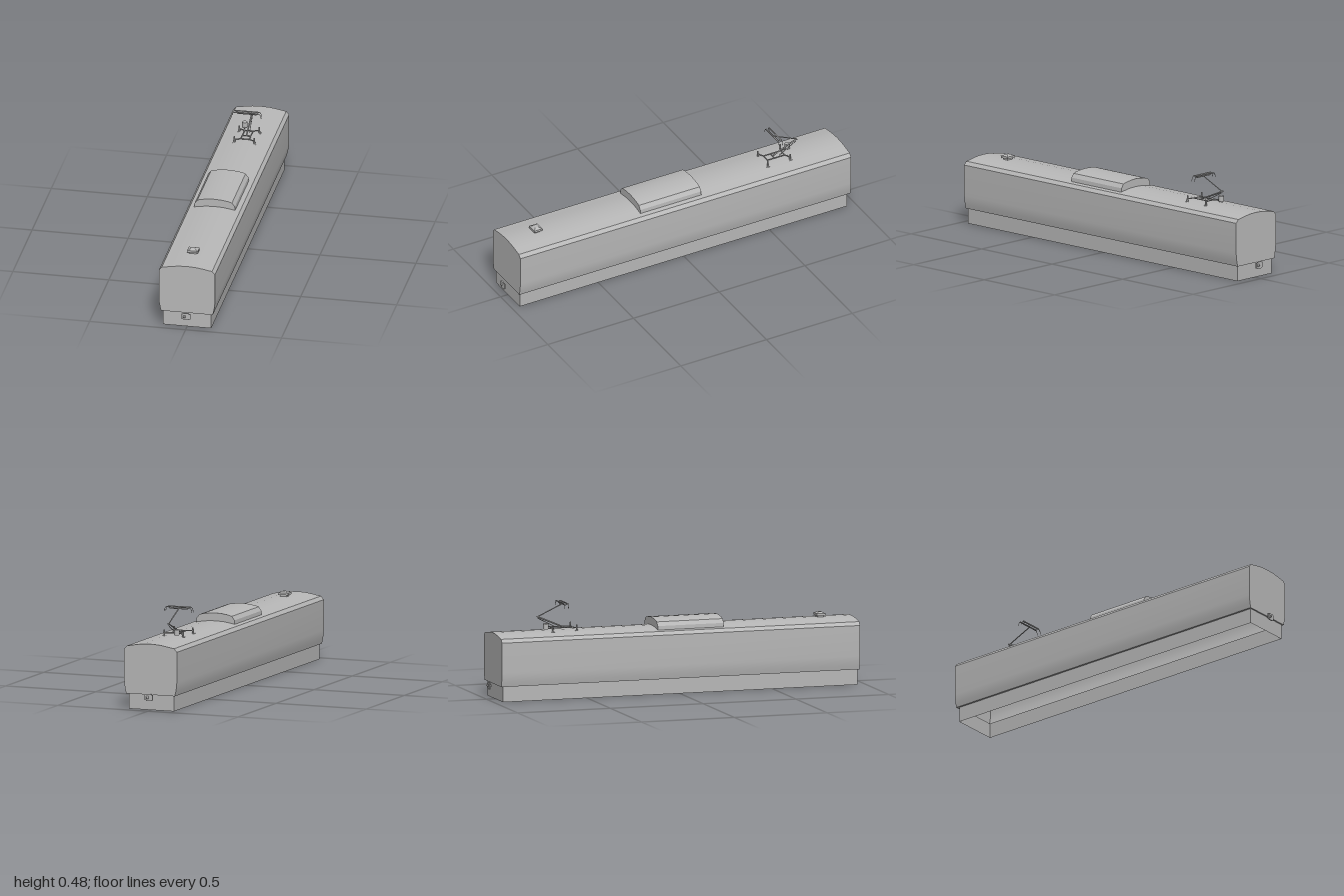
import * as THREE from 'three';
import { toCreasedNormals } from 'three/addons/utils/BufferGeometryUtils.js';

const grey = new THREE.MeshStandardMaterial({ color: 0xb8b8b8, side: THREE.DoubleSide });
grey.name = 'plain grey';

function add(parent, name, geometry, x = 0, y = 0, z = 0) {
  const mesh = new THREE.Mesh(geometry, grey);
  mesh.name = name;
  mesh.position.set(x, y, z);
  parent.add(mesh);
  return mesh;
}

// Straight round bar between two points
function bar(parent, name, a, b, r, sides = 6) {
  const p = new THREE.Vector3(...a), q = new THREE.Vector3(...b);
  const d = q.clone().sub(p);
  const mesh = add(parent, name, new THREE.CylinderGeometry(r, r, d.length(), sides));
  mesh.position.copy(p).add(q).multiplyScalar(0.5);
  mesh.quaternion.setFromUnitVectors(new THREE.Vector3(0, 1, 0), d.normalize());
}

// Mirrors a half section (listed bottom to top, ending on x = 0)
const mirrored = half => [
  ...half, ...half.slice(0, -1).reverse().map(([x, y]) => [-x, y]),
];

// Open-bottomed shell: a section swept along z, with flat ends
function shell(parent, name, half, z0, z1) {
  const section = mirrored(half);
  const pos = [];
  for (let i = 0; i < section.length - 1; i++) {
    const [ax, ay] = section[i], [bx, by] = section[i + 1];
    pos.push(ax, ay, z1, ax, ay, z0, bx, by, z0, ax, ay, z1, bx, by, z0, bx, by, z1);
  }
  const walls = new THREE.BufferGeometry();
  walls.setAttribute('position', new THREE.Float32BufferAttribute(pos, 3));
  const group = new THREE.Group();
  group.name = name;
  parent.add(group);
  add(group, name + 'Sides', toCreasedNormals(walls, 0.35));
  const face = new THREE.ShapeGeometry(new THREE.Shape(section.map(p => new THREE.Vector2(...p))));
  add(group, name + 'FrontEnd', face, 0, 0, z1);
  add(group, name + 'BackEnd', face, 0, 0, z0).rotation.y = Math.PI;
}

// Skirt: four walls, open above and below
function buildSkirt(parent) {
  const h = 0.08, w = 0.125, z0 = -0.953, z1 = 0.957;
  for (const s of [1, -1]) {
    add(parent, 'skirtSide', new THREE.PlaneGeometry(z1 - z0, h), s * w, h / 2, (z0 + z1) / 2)
      .rotation.y = s * Math.PI / 2;
    add(parent, 'skirtEnd', new THREE.PlaneGeometry(2 * w, h), 0, h / 2, s > 0 ? z1 : z0)
      .rotation.y = s > 0 ? 0 : Math.PI;
  }
  // Narrow ledge joining the skirt to the wider body
  const rect = (a, b) => [[-a, -b], [a, -b], [a, b], [-a, b]].map(p => new THREE.Vector2(...p));
  const ledge = new THREE.Shape(rect(0.135, 0.965));
  ledge.holes.push(new THREE.Path(rect(w, 0.953)));
  add(parent, 'ledge', new THREE.ShapeGeometry(ledge), 0, h, 0).rotation.x = Math.PI / 2;
}

function buildCoupler(parent, s) {
  const g = new THREE.Group();
  g.name = s > 0 ? 'frontCoupler' : 'backCoupler';
  add(g, 'couplerPlate', new THREE.BoxGeometry(0.045, 0.028, 0.005), 0, 0.069, 0.987);
  add(g, 'couplerBlock', new THREE.BoxGeometry(0.028, 0.036, 0.006), 0, 0.069, 0.987);
  const cone = new THREE.ConeGeometry(0.011, 0.011, 4).rotateY(Math.PI / 4).rotateX(Math.PI / 2);
  add(g, 'couplerCone', cone, -0.008, 0.069, 0.9945);
  add(g, 'couplerStem', new THREE.BoxGeometry(0.012, 0.012, 0.008), 0, 0.069, 0.98);
  g.rotation.y = s > 0 ? 0 : Math.PI;
  parent.add(g);
}

function buildVent(parent) {
  const g = new THREE.Group();
  g.name = 'roofVent';
  add(g, 'ventBase', new THREE.BoxGeometry(0.038, 0.014, 0.03), 0, 0.344, 0.795);
  add(g, 'ventBox', new THREE.BoxGeometry(0.056, 0.011, 0.046), 0, 0.3555, 0.795);
  const lid = new THREE.CylinderGeometry(0.4 * Math.SQRT1_2, Math.SQRT1_2, 1, 4, 1)
    .rotateY(Math.PI / 4).scale(0.05, 0.007, 0.042).toNonIndexed();
  lid.computeVertexNormals();
  add(g, 'ventLid', lid, 0, 0.3645, 0.795);
  parent.add(g);
}

function buildPantograph(parent) {
  const g = new THREE.Group();
  g.name = 'pantograph';
  parent.add(g);
  const y = 0.354;

  // Base frame on four insulators
  for (const s of [1, -1]) {
    bar(g, 'baseRail', [s * 0.022, y, -0.545], [s * 0.022, y, -0.645], 0.003);
    for (const [z, zIn] of [[-0.53, -0.545], [-0.66, -0.645]]) {
      bar(g, 'baseBracket', [s * 0.022, y, zIn], [s * 0.052, y, z], 0.003);
      add(g, 'insulator', new THREE.CylinderGeometry(0.004, 0.005, 0.036, 8), s * 0.052, 0.352, z);
      add(g, 'insulatorFoot', new THREE.BoxGeometry(0.018, 0.005, 0.018), s * 0.052, 0.337, z);
    }
  }
  for (const z of [-0.545, -0.585, -0.645]) {
    bar(g, 'crossRail', [-0.022, y, z], [0.022, y, z], 0.003);
  }
  add(g, 'driveCylinder', new THREE.CylinderGeometry(0.014, 0.014, 0.028, 12), -0.03, 0.366, -0.69);
  bar(g, 'driveLink', [-0.03, y, -0.69], [-0.022, y, -0.645], 0.003);

  // Folding arms
  const knee = [0, 0.413, -0.725];
  bar(g, 'lowerArm', [0, y, -0.585], knee, 0.004);
  bar(g, 'guideRod', [0.008, y, -0.625], [0.004, 0.405, -0.722], 0.0018);
  bar(g, 'upperArm', knee, [0, 0.474, -0.592], 0.0028);
  bar(g, 'kneeJoint', [-0.006, 0.413, -0.725], [0.006, 0.413, -0.725], 0.004);

  // Contact head with curved horns
  bar(g, 'headBeam', [-0.05, 0.473, -0.592], [0.05, 0.473, -0.592], 0.0028);
  for (const z of [-0.583, -0.603]) {
    add(g, 'contactStrip', new THREE.BoxGeometry(0.126, 0.005, 0.006), 0, 0.482, z);
    for (const s of [1, -1]) {
      const horn = new THREE.CatmullRomCurve3([
        [0.06, 0.482], [0.068, 0.48], [0.073, 0.472], [0.077, 0.457],
      ].map(p => new THREE.Vector3(s * p[0], p[1], z)));
      add(g, 'horn', new THREE.TubeGeometry(horn, 8, 0.0015, 5));
      bar(g, 'headStrut', [s * 0.05, 0.473, -0.592], [s * 0.055, 0.481, z], 0.0015);
    }
  }
}

export function createModel() {
  const model = new THREE.Group();
  model.name = 'railcar';

  buildSkirt(model);
  shell(model, 'body', [
    [0.135, 0.08], [0.14, 0.102], [0.144, 0.125], [0.146, 0.15], [0.146, 0.308],
    [0.131, 0.326], [0.117, 0.328], [0.085, 0.334], [0.045, 0.34], [0, 0.342],
  ], -0.965, 0.965);
  shell(model, 'roofUnit', [
    [0.107, 0.327], [0.105, 0.35], [0.09, 0.37], [0.07, 0.376], [0.035, 0.381], [0, 0.383],
  ], -0.112, 0.243);
  buildVent(model);
  buildPantograph(model);
  for (const s of [1, -1]) buildCoupler(model, s);

  return model;
}
